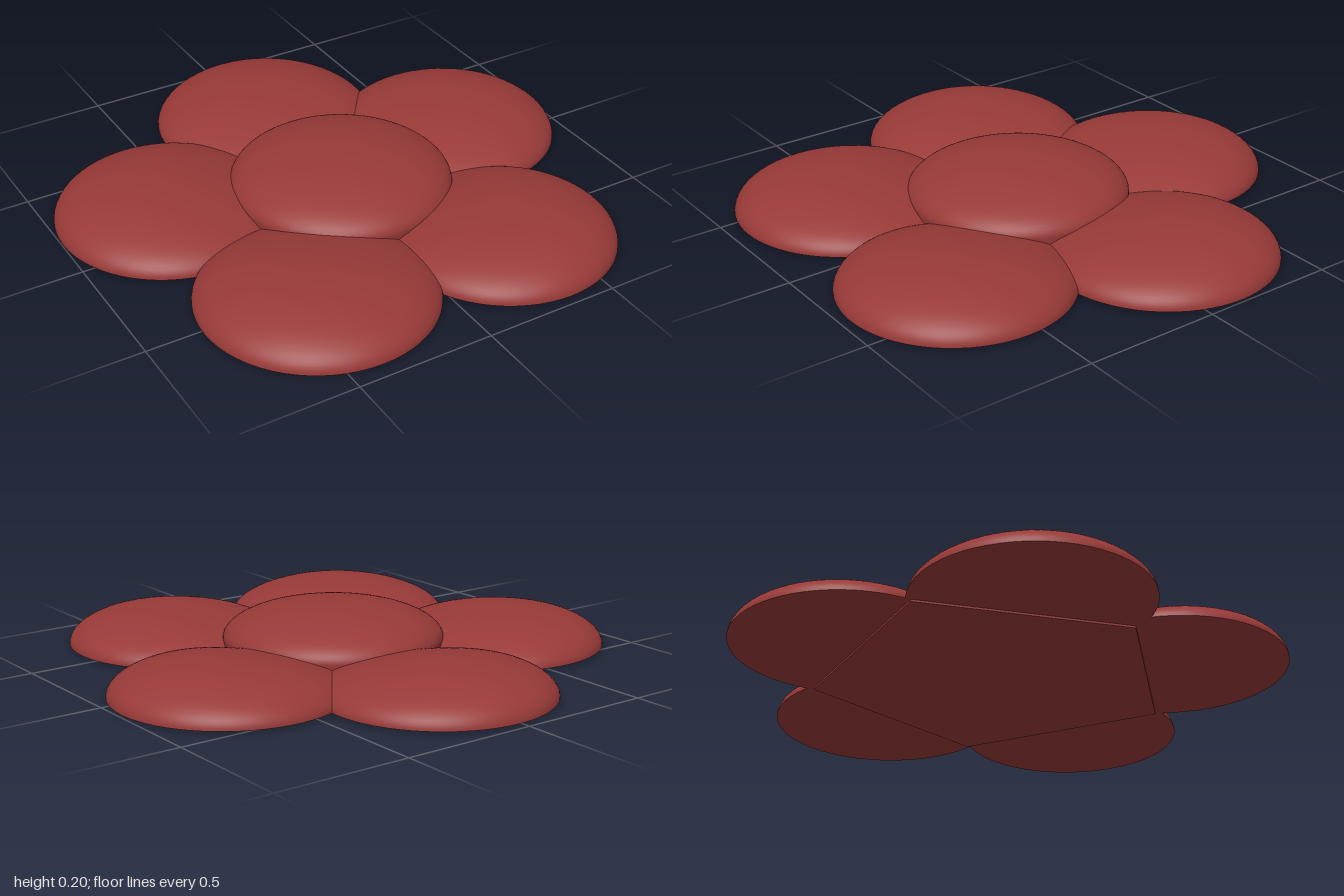
import * as THREE from 'three';
import { mergeVertices } from 'three/addons/utils/BufferGeometryUtils.js';

const material = new THREE.MeshStandardMaterial({ color: 0x983a38, side: THREE.DoubleSide });

function add(parent, name, geometry) {
  const mesh = new THREE.Mesh(geometry, material);
  mesh.name = name;
  parent.add(mesh);
  return mesh;
}

// Half ellipsoid whose crest leans outward and whose inner flank sinks toward the flower's middle
function petalDome(radius, height, outX, outZ) {
  let geo = new THREE.SphereGeometry(1, 64, 24, 0, Math.PI * 2, 0, Math.PI / 2);
  geo.deleteAttribute('uv');
  geo.deleteAttribute('normal');
  const p = geo.attributes.position;
  for (let i = 0; i < p.count; i++) {
    const x = p.getX(i), y = p.getY(i), z = p.getZ(i);
    const lean = 0.09 * (1 - Math.min(1, Math.hypot(x, z)));
    const inward = Math.max(0, -(x * outX + z * outZ));
    const sink = 1 - 0.3 * inward * inward;
    p.setXYZ(i, x * radius + outX * lean, y * height * sink, z * radius + outZ * lean);
  }
  geo = mergeVertices(geo, 1e-5);
  geo.computeVertexNormals();
  return geo;
}

export function createModel() {
  const flower = new THREE.Group();
  flower.name = 'flower';

  // Five overlapping petals: centre x, centre z, radius
  const petals = [
    [0.02, -0.56, 0.42],
    [0.58, -0.135, 0.418],
    [0.35, 0.56, 0.412],
    [-0.38, 0.53, 0.422],
    [-0.58, -0.17, 0.42],
  ];
  petals.forEach(([x, z, r], i) => {
    const petal = new THREE.Group();
    petal.name = 'petal' + (i + 1);
    petal.position.set(x, 0.008, z);
    const len = Math.hypot(x, z);
    add(petal, 'petalTop', petalDome(r, 0.128, x / len, z / len));
    add(petal, 'petalUnderside', new THREE.CircleGeometry(r, 64).rotateX(Math.PI / 2));
    flower.add(petal);
  });

  // Flat five-sided plate joining the notches between the petals
  const notches = [[0.42, -0.51], [0.64, 0.26], [-0.01, 0.72], [-0.6, 0.23], [-0.4, -0.53]];
  const outline = new THREE.Shape(notches.map(([x, z]) => new THREE.Vector2(x, z)));
  const plate = new THREE.ExtrudeGeometry(outline, { depth: 0.009, bevelEnabled: false });
  plate.rotateX(Math.PI / 2).translate(0, 0.009, 0);
  add(flower, 'basePlate', plate);

  // Raised round centre: short wall with a domed top
  const profile = [new THREE.Vector2(0.4, 0.005)];
  for (let i = 0; i <= 20; i++) {
    const a = (i / 20) * Math.PI / 2;
    profile.push(new THREE.Vector2(0.405 * Math.cos(a), 0.075 + 0.128 * Math.sin(a)));
  }
  add(flower, 'flowerCentre', new THREE.LatheGeometry(profile, 64)).position.z = 0.05;

  return flower;
}
